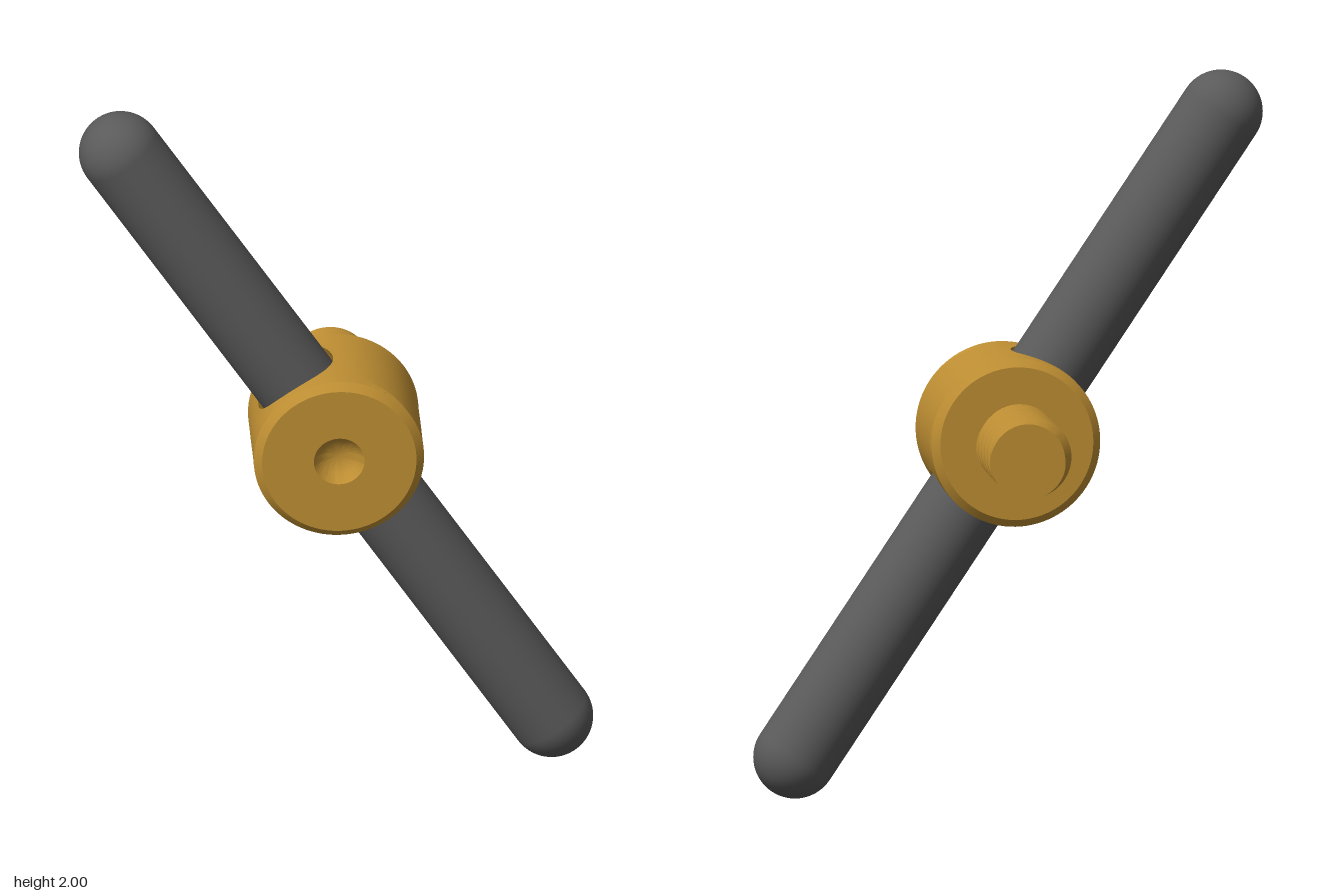
import * as THREE from 'three';
import { mergeGeometries, toCreasedNormals } from 'three/addons/utils/BufferGeometryUtils.js';

const R = 0.235, BACK = -0.03, FRONT = 0.31, CHAMFER = 0.02; // hub
const BORE = 0.124, BORE_Z = 0.138; // cross hole
const TILT = Math.atan2(0.885, -0.595); // direction of the handle

// Surface from a grid of points; faces towards d/di x d/dj
function grid(ni, nj, point) {
  const pos = [], idx = [];
  for (let i = 0; i <= ni; i++) for (let j = 0; j <= nj; j++) pos.push(...point(i, j));
  for (let i = 0; i < ni; i++) for (let j = 0; j < nj; j++) {
    const a = i * (nj + 1) + j, b = a + nj + 1;
    idx.push(a, b, b + 1, a, b + 1, a + 1);
  }
  const g = new THREE.BufferGeometry();
  g.setAttribute('position', new THREE.Float32BufferAttribute(pos, 3));
  g.setIndex(idx);
  return g;
}

function positionsOnly(g) {
  g.deleteAttribute('normal');
  g.deleteAttribute('uv');
  return g;
}

function lathe(points) {
  const g = new THREE.LatheGeometry(points.map(([r, y]) => new THREE.Vector2(r, y)), 96);
  return positionsOnly(g.rotateX(Math.PI / 2).rotateZ(TILT));
}

// Point number j on the edge of the square -1..1, counter-clockwise
function squareEdge(j, n) {
  const side = Math.floor(j / n) % 4, s = -1 + 2 * (j % n) / n;
  return [[1, s], [-s, 1], [-1, -s], [s, -1]][side];
}

// Hub: chamfered faces, a centre dimple, and a wall pierced by the cross hole
function hubGeometry() {
  const lo = BACK + CHAMFER, hi = FRONT - CHAMFER, n = 48;
  const parts = [
    lathe([[0, BACK], [R - 0.022, BACK], [R, lo]]),
    lathe([[R, hi], [R - 0.022, FRONT], [0.07, FRONT], [0.05, 0.285], [0.03, 0.274], [0, 0.27]]),
  ];
  for (const turn of [0, Math.PI]) {
    const wall = grid(8, 4 * n, (i, j) => {
      const [a, b] = squareEdge(j, n), phi = Math.atan2(b, a), t = i / 8;
      const u = THREE.MathUtils.lerp(Math.asin(BORE * Math.cos(phi) / R), a * Math.PI / 2, t);
      const z = THREE.MathUtils.lerp(BORE_Z + BORE * Math.sin(phi), (lo + hi) / 2 + b * (hi - lo) / 2, t);
      return [R * Math.cos(u), R * Math.sin(u), z];
    });
    const bore = grid(1, 4 * n, (i, j) => {
      const [a, b] = squareEdge(j, n), phi = Math.atan2(b, a), y = BORE * Math.cos(phi);
      return [i * Math.sqrt(R * R - y * y), y, BORE_Z + BORE * Math.sin(phi)];
    });
    parts.push(wall.rotateZ(TILT + turn), bore.rotateZ(TILT + turn));
  }
  return toCreasedNormals(mergeGeometries(parts), 0.5);
}

// Right-hand screw thread along z, cut off flat at both ends
function threadGeometry() {
  const pitch = 0.0565, z0 = -0.192, end = -0.31, top = -0.02, seg = 64;
  const crest = 0.115, root = 0.093, c = 0.1, r = 0.43; // half crest width, start of root
  const stops = [-c, c, r, 1 - r], rows = [];
  for (let k = -4; k <= 4; k++) for (const f of stops) rows.push(k + f);
  const g = grid(seg, rows.length, (i, j) => {
    const th = 2 * Math.PI * i / seg;
    if (j === 0) return [0, 0, end];
    const z = THREE.MathUtils.clamp(z0 + pitch * (rows[j - 1] + i / seg), end, top);
    const p = (z - z0) / pitch - i / seg;
    const away = Math.abs(p - Math.round(p));
    const rad = THREE.MathUtils.mapLinear(THREE.MathUtils.clamp(away, c, r), c, r, crest, root);
    return [rad * Math.cos(th), rad * Math.sin(th), z];
  });
  return toCreasedNormals(g, 0.4);
}

export function createModel() {
  const model = new THREE.Group();
  const brass = new THREE.MeshStandardMaterial({ color: 0xbf8f33 });
  const dark = new THREE.MeshStandardMaterial({ color: 0x5a5a5a });
  const add = (name, geometry, material) => {
    const mesh = new THREE.Mesh(geometry, material);
    mesh.name = name;
    model.add(mesh);
    return mesh;
  };

  add('hub', hubGeometry(), brass).position.y = 1;
  add('threadedStud', threadGeometry(), brass).position.y = 1;

  // Round-ended bar through the hub
  const axis = new THREE.Vector3(-0.595, 0.885, 0.012);
  const handle = add('handle', new THREE.CapsuleGeometry(0.115, 2 * axis.length(), 16, 64), dark);
  handle.position.set(0, 1, BORE_Z);
  handle.quaternion.setFromUnitVectors(new THREE.Vector3(0, 1, 0), axis.normalize());
  return model;
}
